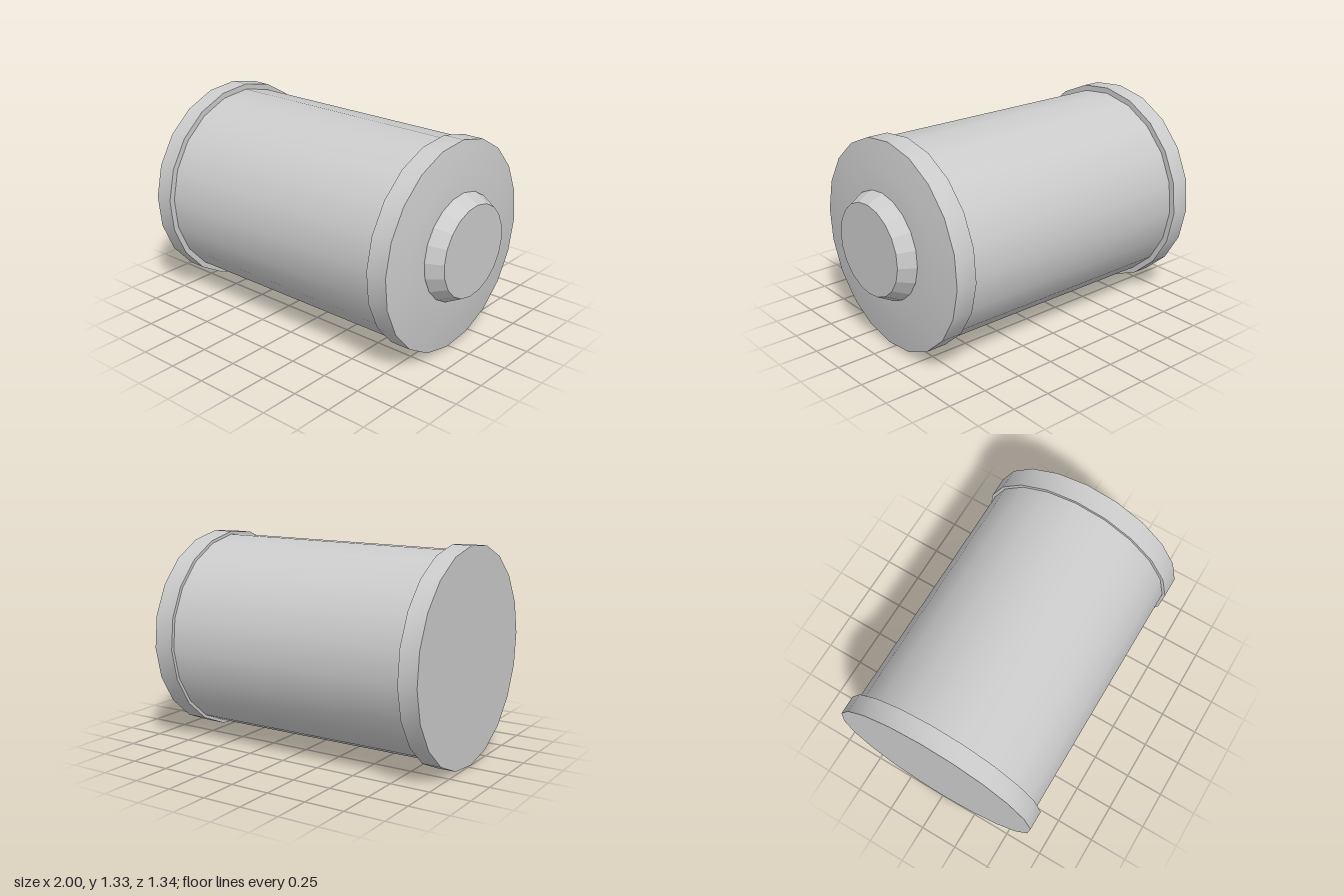
import * as THREE from 'three';
import { toCreasedNormals } from 'three/addons/utils/BufferGeometryUtils.js';

const SIDES = 20;
const PHASE = -THREE.MathUtils.degToRad(93.4);

// Revolve [radius, x] points around the x axis, slightly wider in z than in y
function turned(name, profile, material, stretch, crease) {
  const points = profile.map(([r, x]) => new THREE.Vector2(r, x));
  let geometry = new THREE.LatheGeometry(points, SIDES, PHASE);
  geometry.rotateZ(-Math.PI / 2);
  geometry.scale(1, 1, stretch);
  geometry = toCreasedNormals(geometry, crease);
  const mesh = new THREE.Mesh(geometry, material);
  mesh.name = name;
  return mesh;
}

export function createModel() {
  const group = new THREE.Group();
  group.name = 'canister';
  const smooth = new THREE.MeshStandardMaterial({ color: 0xcccccc });
  const faceted = new THREE.MeshStandardMaterial({ color: 0xcccccc, flatShading: true });

  // Flat base rim
  const base = turned('baseRim', [[0, -1], [0.667, -1], [0.667, -0.88], [0.631, -0.88]], smooth, 1.01, 0.4);

  // Main barrel
  const body = turned('barrel', [[0.631, -0.88], [0.631, 0.73]], smooth, 1.01, 0.4);

  // Top rim with its shallow domed lid
  const lid = turned('lidRim', [
    [0.631, 0.73], [0.651, 0.73], [0.651, 0.863],
    [0.625, 0.867], [0.48, 0.888], [0.34, 0.9], [0, 0.9],
  ], smooth, 1.01, 0.4);

  // Tapered terminal cap
  const nub = turned('terminalCap', [[0.333, 0.895], [0.333, 0.905], [0.284, 1], [0, 1]], faceted, 1.045, 0.1);
  nub.position.set(0, 0.014, 0.006);

  group.add(base, body, lid, nub);
  group.children.forEach((part) => { part.position.y += 0.666; });
  return group;
}
